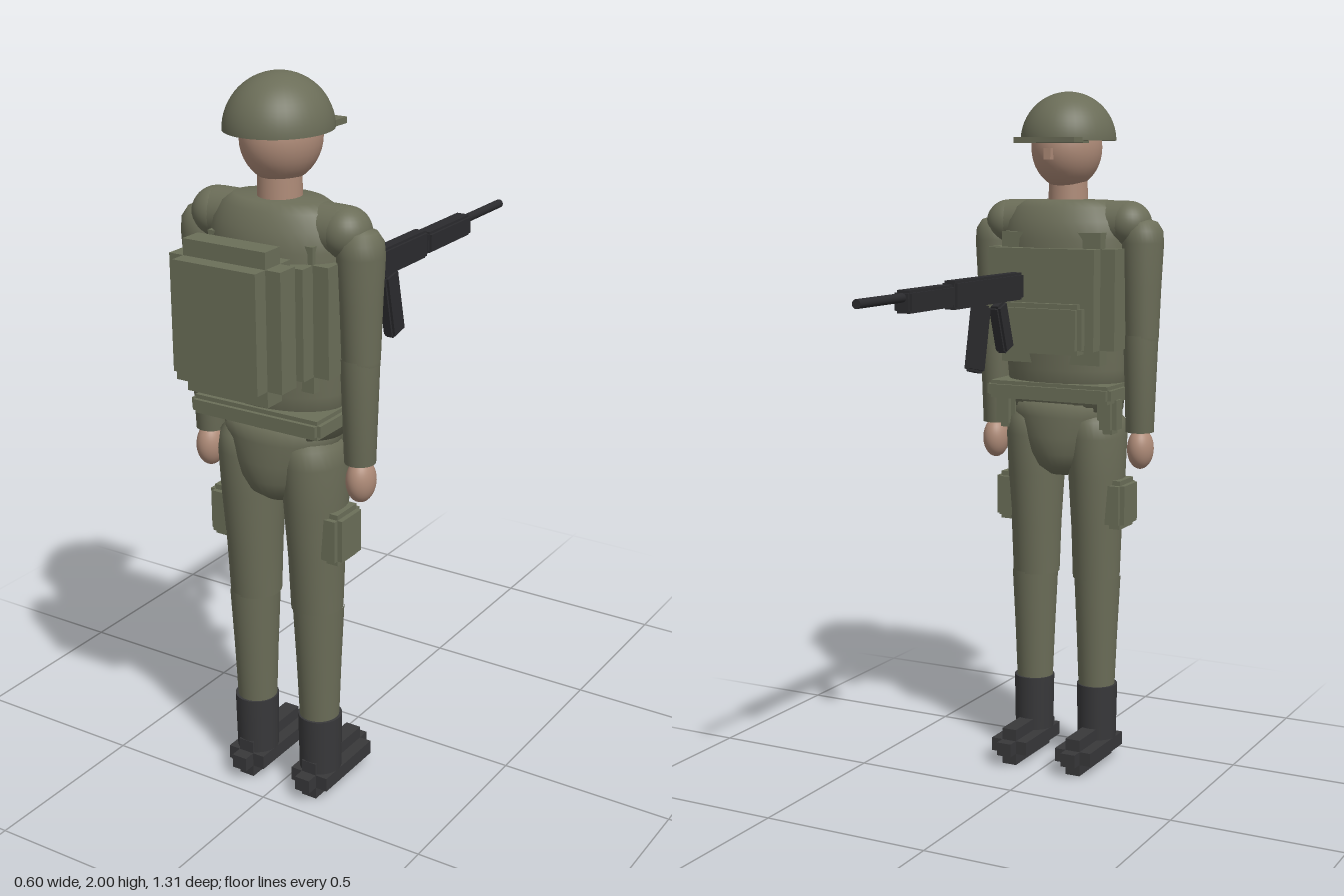
import * as THREE from 'three';
import { mergeVertices } from 'three/addons/utils/BufferGeometryUtils.js';

const CZ = 0.368; // depth of the body axis

const mat = (name, color) => {
  const m = new THREE.MeshStandardMaterial({ color });
  m.name = name;
  return m;
};

export function createModel() {
  const cloth = mat('olive cloth', 0x6b6d58);
  const gear = mat('olive gear', 0x6b6f59);
  const skin = mat('skin', 0xae8b78);
  const leather = mat('boot black', 0x38383a);
  const metal = mat('gun metal', 0x2b2b2e);
  const root = new THREE.Group();
  root.name = 'soldier';

  const add = (parent, name, geo, material, x, y, z) => {
    const m = new THREE.Mesh(geo, material);
    m.name = name;
    m.position.set(x, y, z);
    parent.add(m);
    return m;
  };
  const ball = (parent, name, material, x, y, z, rx, ry, rz) =>
    add(parent, name, new THREE.SphereGeometry(1, 32, 20), material, x, y, z).scale.set(rx, ry, rz);

  // Box with stepped edges: three crossing boxes, each inset by b on two axes
  const steppedBox = (parent, name, material, x, y, z, w, h, d, b) => {
    const g = new THREE.Group();
    g.name = name;
    g.position.set(x, y, z);
    const i = 2 * b;
    for (const s of [[w, h - i, d - i], [w - i, h, d - i], [w - i, h - i, d]])
      add(g, name + 'Block', new THREE.BoxGeometry(...s), material, 0, 0, 0);
    parent.add(g);
    return g;
  };

  // Smooth body from elliptical rings [y, rx, rz], bottom to top
  const loft = (parent, name, material, x, z, rings) => {
    let geo = new THREE.LatheGeometry(rings.map(([y, rx]) => new THREE.Vector2(rx, y)), 32);
    const p = geo.attributes.position;
    for (let i = 0; i < p.count; i++) {
      const [, rx, rz] = rings[i % rings.length];
      p.setZ(i, p.getZ(i) * rz / rx);
    }
    geo.deleteAttribute('uv');
    geo.deleteAttribute('normal');
    geo = mergeVertices(geo, 1e-5);
    geo.computeVertexNormals();
    return add(parent, name, geo, material, x, 0, z);
  };

  // Head, neck and helmet
  ball(root, 'head', skin, 0, 1.84, 0.358, 0.1, 0.118, 0.117);
  add(root, 'nose', new THREE.BoxGeometry(0.022, 0.032, 0.03), skin, 0, 1.822, 0.24);
  add(root, 'neck', new THREE.CylinderGeometry(0.056, 0.059, 0.12, 32), skin, 0, 1.7, CZ);
  const dome = new THREE.SphereGeometry(1, 40, 16, 0, Math.PI * 2, 0, Math.PI / 2);
  add(root, 'helmet', dome, cloth, 0, 1.86, CZ).scale.set(0.137, 0.14, 0.149);
  const under = add(root, 'helmetUnderside', new THREE.CircleGeometry(1, 40), cloth, 0, 1.86, CZ);
  under.rotation.x = Math.PI / 2;
  under.scale.set(0.137, 0.149, 1);
  add(root, 'helmetBrim', new THREE.BoxGeometry(0.19, 0.016, 0.1), cloth, 0, 1.861, 0.254);

  // Torso and hips
  loft(root, 'torso', cloth, 0, CZ, [
    [1.08, 0.001, 0.001], [1.08, 0.176, 0.114], [1.2, 0.188, 0.122], [1.35, 0.195, 0.13],
    [1.5, 0.2, 0.137], [1.58, 0.2, 0.135], [1.63, 0.19, 0.122], [1.67, 0.165, 0.1],
    [1.69, 0.13, 0.08], [1.694, 0.001, 0.001]]);
  loft(root, 'hips', cloth, 0, CZ, [
    [0.88, 0.001, 0.001], [0.882, 0.05, 0.06], [0.91, 0.09, 0.1], [0.95, 0.115, 0.119],
    [1.0, 0.145, 0.122], [1.06, 0.168, 0.12], [1.11, 0.177, 0.115], [1.13, 0.001, 0.001]]);

  for (const s of [-1, 1]) {
    // Arm
    const arm = new THREE.Group();
    arm.name = 'arm';
    root.add(arm);
    const shoulder = add(arm, 'shoulder', new THREE.CapsuleGeometry(0.068, 0.1, 10, 28), cloth, s * 0.135, 1.622, CZ);
    shoulder.rotation.z = Math.PI / 2;
    ball(arm, 'shoulderCap', cloth, s * 0.195, 1.622, CZ, 0.066, 0.067, 0.07);
    loft(arm, 'upperArm', cloth, s * 0.238, CZ, [
      [1.29, 0.049, 0.049], [1.3, 0.05, 0.051], [1.45, 0.055, 0.058], [1.57, 0.061, 0.064],
      [1.605, 0.058, 0.06], [1.63, 0.042, 0.043], [1.643, 0.001, 0.001]]);
    loft(arm, 'forearm', cloth, s * 0.236, CZ, [
      [1.02, 0.001, 0.001], [1.02, 0.041, 0.042], [1.305, 0.051, 0.052]]);
    ball(arm, 'hand', skin, s * 0.239, 0.97, CZ, 0.038, 0.06, 0.046);

    // Leg and boot
    const leg = new THREE.Group();
    leg.name = 'leg';
    root.add(leg);
    loft(leg, 'thigh', cloth, s * 0.1, CZ, [
      [0.57, 0.07, 0.072], [0.72, 0.074, 0.082], [0.88, 0.082, 0.098], [1.0, 0.086, 0.106],
      [1.05, 0.078, 0.1], [1.08, 0.05, 0.07], [1.09, 0.001, 0.001]]);
    loft(leg, 'shin', cloth, s * 0.104, CZ, [
      [0.22, 0.054, 0.054], [0.4, 0.061, 0.062], [0.575, 0.069, 0.072]]);
    add(leg, 'bootShaft', new THREE.CylinderGeometry(0.061, 0.058, 0.18, 32), leather, s * 0.106, 0.15, CZ);
    steppedBox(leg, 'bootFoot', leather, s * 0.106, 0.055, 0.312, 0.116, 0.11, 0.302, 0.035);

    // Pouches on the thigh and belt
    steppedBox(leg, 'thighPouch', gear, s * 0.175, 0.803, CZ, 0.07, 0.145, 0.122, 0.014);
    steppedBox(root, 'beltPouch', gear, s * 0.165, 1.075, 0.31, 0.062, 0.115, 0.07, 0.014);
  }

  // Vest, belt and backpack
  steppedBox(root, 'vest', gear, 0, 1.41, 0.357, 0.406, 0.38, 0.3, 0.045);
  steppedBox(root, 'chestPouch', gear, 0, 1.327, 0.21, 0.26, 0.145, 0.074, 0.014);
  steppedBox(root, 'belt', gear, 0, 1.137, CZ, 0.4, 0.052, 0.28, 0.011);
  steppedBox(root, 'backpack', gear, 0, 1.421, 0.581, 0.33, 0.395, 0.148, 0.043);

  // Rifle pointing away from the chest
  const rifle = new THREE.Group();
  rifle.name = 'rifle';
  rifle.position.x = 0.087;
  root.add(rifle);
  steppedBox(rifle, 'receiver', metal, 0, 1.446, 0.015, 0.046, 0.078, 0.415, 0.007);
  steppedBox(rifle, 'handguard', metal, 0, 1.446, -0.317, 0.052, 0.06, 0.24, 0.007);
  const barrel = add(rifle, 'barrel', new THREE.CylinderGeometry(0.0125, 0.0125, 0.505, 20), metal, 0, 1.457, -0.4025);
  barrel.rotation.x = Math.PI / 2;
  steppedBox(rifle, 'grip', metal, 0, 1.335, 0.112, 0.036, 0.145, 0.056, 0.007).rotation.x = -0.33;
  steppedBox(rifle, 'magazine', metal, 0, 1.315, -0.03, 0.036, 0.19, 0.066, 0.007).rotation.x = 0.22;

  return root;
}
